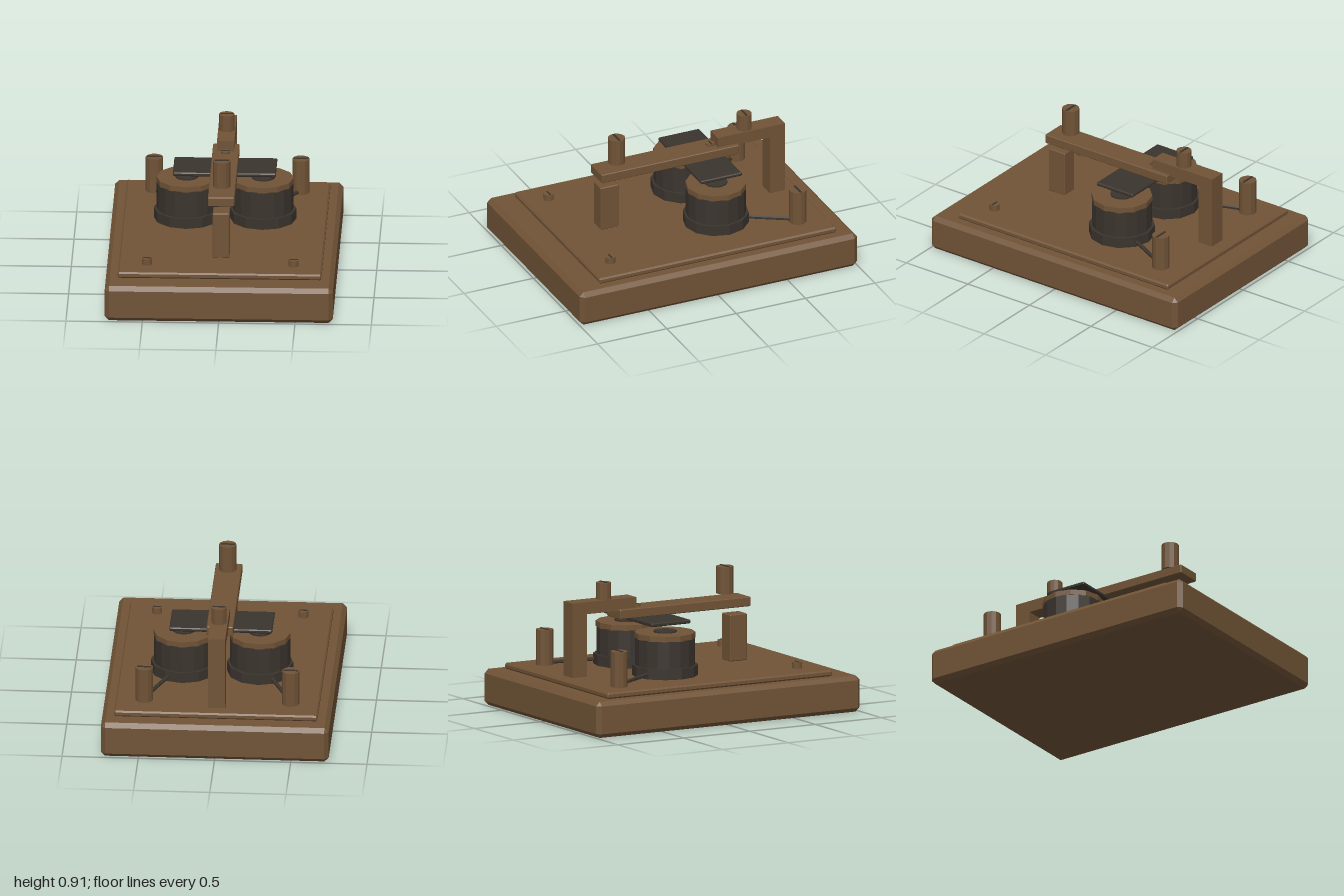
import * as THREE from 'three';
import { ConvexGeometry } from 'three/addons/geometries/ConvexGeometry.js';

export function createModel() {
  const model = new THREE.Group();
  model.name = 'telegraphSounder';

  const brown = new THREE.MeshStandardMaterial({ color: 0x705336 });
  brown.name = 'brown';
  const dark = new THREE.MeshStandardMaterial({ color: 0x3b342e });
  dark.name = 'charcoal';
  brown.flatShading = dark.flatShading = true;

  const add = (name, geometry, material, x = 0, y = 0, z = 0) => {
    const mesh = new THREE.Mesh(geometry, material);
    mesh.name = name;
    mesh.position.set(x, y, z);
    model.add(mesh);
    return mesh;
  };

  // Box given by its limits, with every edge chamfered by c
  const block = (name, material, [x0, x1], [y0, y1], [z0, z1], c) => {
    const h = [(x1 - x0) / 2, (y1 - y0) / 2, (z1 - z0) / 2];
    const points = [];
    for (const sx of [-1, 1]) for (const sy of [-1, 1]) for (const sz of [-1, 1]) {
      for (let axis = 0; axis < 3; axis++) {
        const [a, b, d] = h.map((v, i) => (i === axis ? v : v - c));
        points.push(new THREE.Vector3(sx * a, sy * b, sz * d));
      }
    }
    return add(name, new ConvexGeometry(points), material, (x0 + x1) / 2, (y0 + y1) / 2, (z0 + z1) / 2);
  };

  // Upright cylinder between two heights
  const drum = (name, material, r, y0, y1, x, z, sides = 12) =>
    add(name, new THREE.CylinderGeometry(r, r, y1 - y0, sides), material, x, (y0 + y1) / 2, z);

  // Cylinder with a dark screwdriver slot on its top
  const screw = (name, r, y0, y1, x, z) => {
    drum(name, brown, r, y0, y1, x, z);
    add(name + 'Slot', new THREE.BoxGeometry(r * 1.7, 0.006, r * 0.25), dark, x, y1 + 0.001, z);
  };

  // Base and mounting plate
  block('base', brown, [-0.747, 0.747], [0, 0.24], [-1, 1], 0.028);
  block('mountingPlate', brown, [-0.667, 0.667], [0.24, 0.28], [-0.88, 0.83], 0.01);

  // Anvil pillar, sounding lever and its adjusting knob
  block('anvilPillar', brown, [-0.055, 0.055], [0.28, 0.59], [0.41, 0.54], 0.005);
  block('lever', brown, [-0.087, 0.087], [0.642, 0.705], [-0.445, 0.547], 0.005);
  screw('leverKnob', 0.057, 0.73, 0.91, 0, 0.4);
  screw('leverScrew', 0.03, 0.705, 0.72, 0, -0.275);
  block('armature', dark, [-0.337, 0.337], [0.62, 0.645], [-0.35, -0.055], 0.006);

  // Rear bracket: one angled profile extruded across x
  const profile = new THREE.Shape([
    [0.79, 0.28], [0.79, 0.775], [0.305, 0.775], [0.305, 0.695], [0.68, 0.695], [0.68, 0.28],
  ].map(([a, b]) => new THREE.Vector2(a, b)));
  const bracket = new THREE.ExtrudeGeometry(profile, { depth: 0.114, bevelEnabled: false });
  bracket.translate(0, 0, -0.057).rotateY(Math.PI / 2);
  add('rearBracket', bracket, brown);
  screw('bracketScrew', 0.05, 0.775, 0.885, 0, -0.52);

  for (const s of [-1, 1]) {
    const side = s > 0 ? 'left' : 'right';
    const x = s * 0.25, z = -0.2;
    // Electromagnet coil
    drum(side + 'CoilFlange', dark, 0.217, 0.28, 0.35, x, z);
    drum(side + 'CoilWinding', dark, 0.198, 0.35, 0.53, x, z, 16);
    drum(side + 'CoilCap', brown, 0.2, 0.527, 0.565, x, z);
    drum(side + 'CoilCore', dark, 0.077, 0.56, 0.575, x, z);
    // Terminal post, wire and plate screw
    screw(side + 'TerminalPost', 0.057, 0.28, 0.515, s * 0.48, -0.685);
    screw(side + 'PlateScrew', 0.033, 0.28, 0.322, s * 0.48, 0.667);
    const wire = new THREE.LineCurve3(
      new THREE.Vector3(s * 0.47, 0.295, -0.665), new THREE.Vector3(s * 0.335, 0.313, -0.37));
    add(side + 'Wire', new THREE.TubeGeometry(wire, 1, 0.013, 6), dark);
  }
  return model;
}
